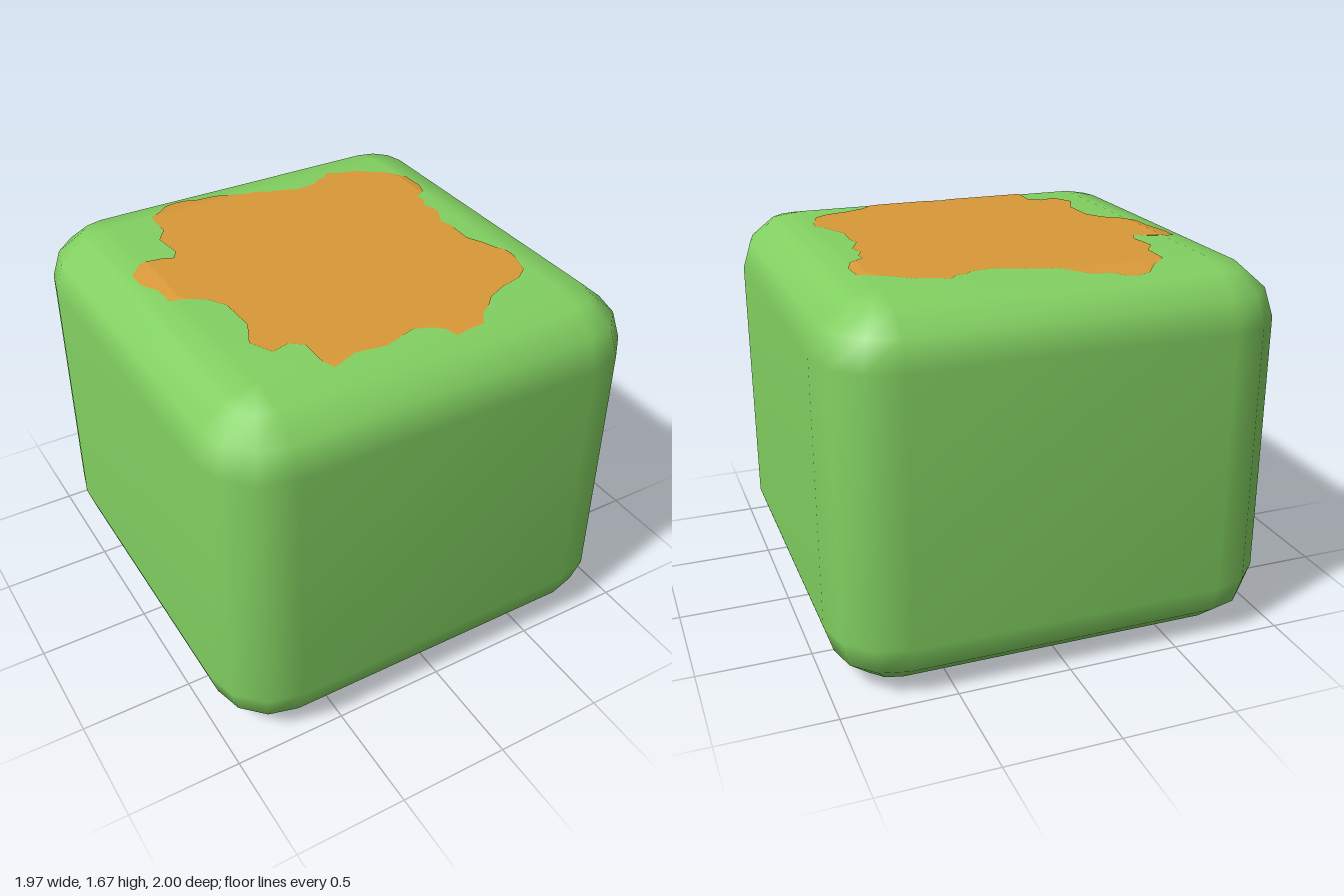
import * as THREE from 'three';
import { mergeVertices } from 'three/addons/utils/BufferGeometryUtils.js';

const HALF = new THREE.Vector3(0.985, 0.8325, 1); // half size of the block
const BEVEL = 0.3;                                // rounding, as a share of the half size
const FLAT = 1 - BEVEL;

const green = new THREE.MeshStandardMaterial({ color: 0x82d061 });
green.name = 'green';
const orange = new THREE.MeshStandardMaterial({ color: 0xd99838, side: THREE.DoubleSide });
orange.name = 'orange';

// Rounded block: a grid wrapped round the box, three steps per rounded edge
function blockGeometry() {
  const geo = new THREE.PlaneGeometry(1, 1, 16, 9);
  const pos = geo.attributes.position;
  for (let row = 0; row <= 9; row++) {
    for (let col = 0; col <= 16; col++) {
      const top = row < 5;
      const step = top ? row : 9 - row; // 0 is the middle of the cap
      const sy = top ? 1 : -1;
      const p = new THREE.Vector3(0, sy, 0);
      if (step > 0) {
        const quarter = Math.floor(col / 4) * Math.PI / 2;
        const a = quarter + (col % 4) * Math.PI / 6;
        const tilt = (step - 1) * Math.PI / 6;
        p.set(
          FLAT * Math.sign(Math.sin(quarter + Math.PI / 4)) + BEVEL * Math.sin(tilt) * Math.sin(a),
          sy * (FLAT + BEVEL * Math.cos(tilt)),
          FLAT * Math.sign(Math.cos(quarter + Math.PI / 4)) + BEVEL * Math.sin(tilt) * Math.cos(a)
        );
      }
      p.multiply(HALF);
      pos.setXYZ(row * 17 + col, p.x, p.y + HALF.y, p.z);
    }
  }
  geo.deleteAttribute('uv');
  geo.deleteAttribute('normal');
  const merged = mergeVertices(geo);
  merged.computeVertexNormals();
  return merged;
}

// Wavy outline of the patch as [x, z], clockwise from above
const OUTLINE = [
  [-0.44, -0.74], [-0.39, -0.8], [-0.33, -0.815], [-0.28, -0.805], [-0.24, -0.775], [-0.15, -0.765],
  [-0.04, -0.69], [0.02, -0.68], [0.08, -0.65], [0.15, -0.63], [0.2, -0.605], [0.3, -0.615],
  [0.33, -0.645], [0.37, -0.65], [0.41, -0.69], [0.46, -0.66], [0.55, -0.635], [0.6, -0.59],
  [0.66, -0.55], [0.73, -0.48], [0.735, -0.37], [0.71, -0.3], [0.65, -0.265], [0.655, -0.22],
  [0.63, -0.17], [0.65, -0.1], [0.605, 0], [0.62, 0.05], [0.615, 0.18], [0.65, 0.25],
  [0.67, 0.31], [0.7, 0.36], [0.7, 0.41], [0.66, 0.53], [0.6, 0.575], [0.5, 0.6],
  [0.41, 0.64], [0.36, 0.69], [0.31, 0.72], [0.28, 0.77], [0.2, 0.775], [0.14, 0.785],
  [0.12, 0.74], [0.07, 0.71], [0, 0.685], [-0.05, 0.7], [-0.15, 0.725], [-0.28, 0.71],
  [-0.39, 0.745], [-0.42, 0.7], [-0.42, 0.57], [-0.47, 0.53], [-0.55, 0.55], [-0.6, 0.45],
  [-0.545, 0.33], [-0.55, 0.16], [-0.6, 0.08], [-0.66, 0.04], [-0.73, 0], [-0.735, -0.1],
  [-0.775, -0.19], [-0.775, -0.28], [-0.72, -0.33], [-0.62, -0.32], [-0.57, -0.3], [-0.545, -0.35],
  [-0.56, -0.48], [-0.51, -0.55], [-0.505, -0.69]
];

function createPatch() {
  const group = new THREE.Group();
  group.name = 'topPatch';
  const y = 2 * HALF.y + 0.003;
  const fx = FLAT * HALF.x, fz = FLAT * HALF.z;
  const inner = OUTLINE.map(([x, z]) => [
    THREE.MathUtils.clamp(x, -fx, fx), THREE.MathUtils.clamp(z, -fz, fz)
  ]);

  // Level part on the flat of the top
  const shape = new THREE.Shape(inner.map(([x, z]) => new THREE.Vector2(x, -z)));
  const level = new THREE.Mesh(new THREE.ShapeGeometry(shape).rotateX(-Math.PI / 2).translate(0, y, 0), orange);
  level.name = 'patchCentre';

  // Tips that run down over the rounded edge
  const verts = [], index = [], n = OUTLINE.length;
  OUTLINE.forEach(([x, z], i) => {
    const over = Math.abs(x - inner[i][0]) + Math.abs(z - inner[i][1]);
    verts.push(x, y - 0.225 * over, z, inner[i][0], y, inner[i][1]);
    const a = 2 * i, b = 2 * ((i + 1) % n);
    index.push(a, a + 1, b + 1, a, b + 1, b);
  });
  const rim = new THREE.BufferGeometry();
  rim.setAttribute('position', new THREE.Float32BufferAttribute(verts, 3));
  rim.setIndex(index);
  rim.computeVertexNormals();
  const tips = new THREE.Mesh(rim, orange);
  tips.name = 'patchTips';

  group.add(level, tips);
  return group;
}

export function createModel() {
  const model = new THREE.Group();
  model.name = 'roundedBlock';
  const block = new THREE.Mesh(blockGeometry(), green);
  block.name = 'block';
  model.add(block, createPatch());
  return model;
}
